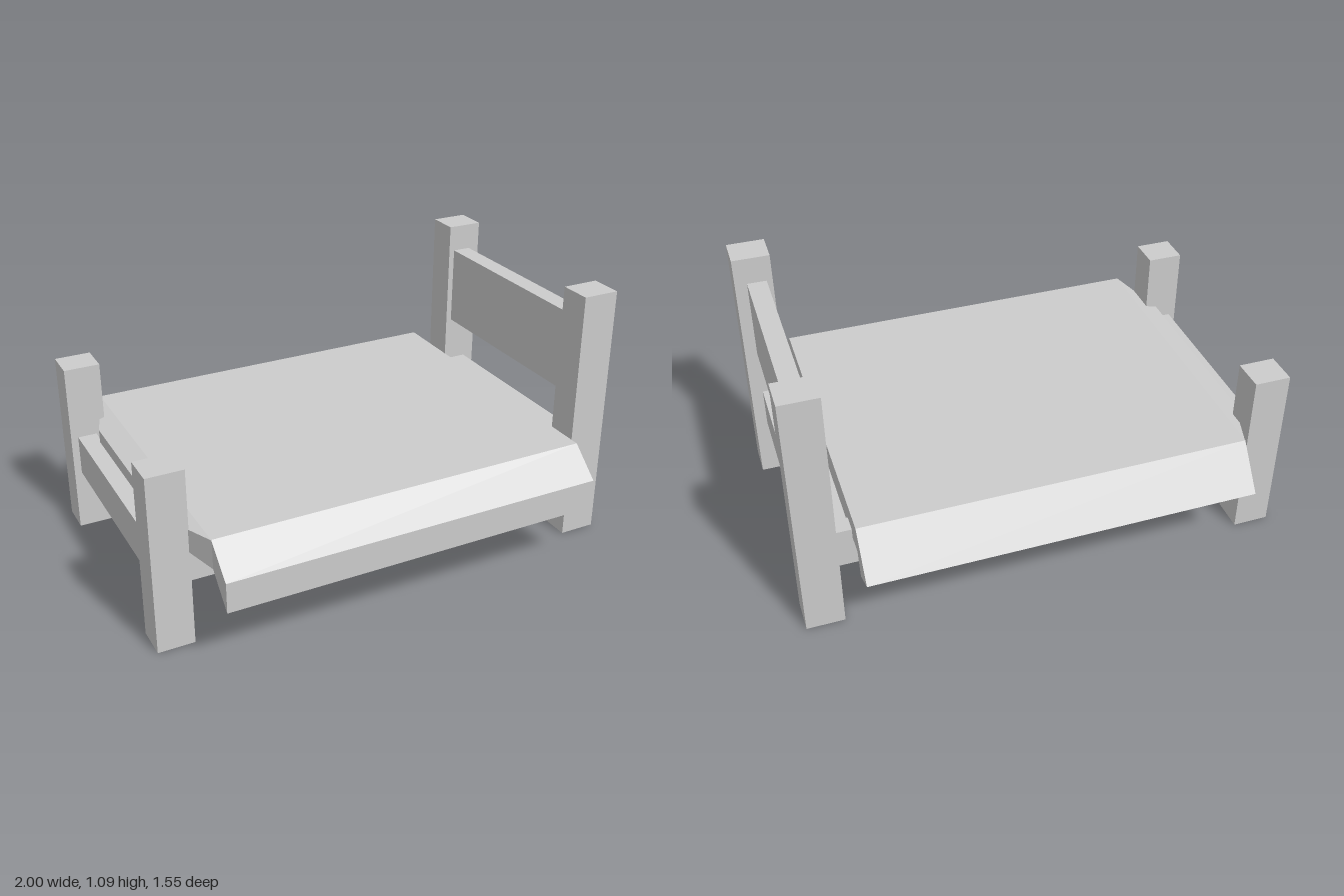
import * as THREE from 'three';

const material = new THREE.MeshStandardMaterial({ color: 0xcccccc, flatShading: true });

export function createModel() {
  const bed = new THREE.Group();
  bed.name = 'bed';

  const add = (name, geometry) => {
    const mesh = new THREE.Mesh(geometry, material);
    mesh.name = name;
    bed.add(mesh);
    return mesh;
  };

  // Box given by its minimum and maximum on each axis
  const box = (name, [x0, x1], [y0, y1], [z0, z1]) =>
    add(name, new THREE.BoxGeometry(x1 - x0, y1 - y0, z1 - z0))
      .position.set((x0 + x1) / 2, (y0 + y1) / 2, (z0 + z1) / 2);

  // Corner posts: tall at the head (+x), short at the foot (-x)
  for (const [side, front, back] of [['Front', 0.405, 0.542], ['Back', -0.595, -0.458]]) {
    box(`headPost${side}`, [0.845, 1], [0, 1.09], [front, back]);
    box(`footPost${side}`, [-1, -0.85], [0, 0.745], [front - 0.005, back - 0.005]);
  }

  // Boards between the posts
  const span = [-0.47, 0.42];
  const railHeight = [0.26, 0.43];
  box('headPanel', [0.87, 0.95], [0.63, 0.975], span);
  box('headRail', [0.87, 0.95], railHeight, span);
  box('footRail', [-0.97, -0.89], railHeight, span);

  // Side rails and the base they carry
  box('sideRailFront', [-0.86, 0.86], railHeight, [0.44, 0.51]);
  box('sideRailBack', [-0.86, 0.86], railHeight, [-0.56, -0.49]);
  box('base', [-0.84, 0.84], [0.262, 0.39], [-0.49, 0.44]);

  // Mattress cover with hanging flaps: (z, y) cross-section run along x
  const section = [
    [0.655, 0.51], [0.78, 0.40], [0.78, 0.275], [0.66, 0.39],
    [-0.64, 0.39], [-0.665, 0.285], [-0.775, 0.335], [-0.645, 0.51],
  ];
  const shape = new THREE.Shape(section.map(([z, y]) => new THREE.Vector2(-z, y)));
  const cover = new THREE.ExtrudeGeometry(shape, { depth: 1.59, bevelEnabled: false });
  cover.rotateY(Math.PI / 2);
  add('mattressCover', cover).position.x = -0.81;

  // Tucked foot end: a box narrowed towards the foot
  const tuck = new THREE.BoxGeometry(0.09, 0.12, 1.3);
  const p = tuck.attributes.position;
  for (let i = 0; i < p.count; i++) {
    if (p.getX(i) < 0) p.setXYZ(i, p.getX(i), p.getY(i) * 0.6, p.getZ(i) * 0.6);
  }
  tuck.computeVertexNormals();
  add('tuckedFootEnd', tuck).position.set(-0.855, 0.45, 0.01);

  return bed;
}
